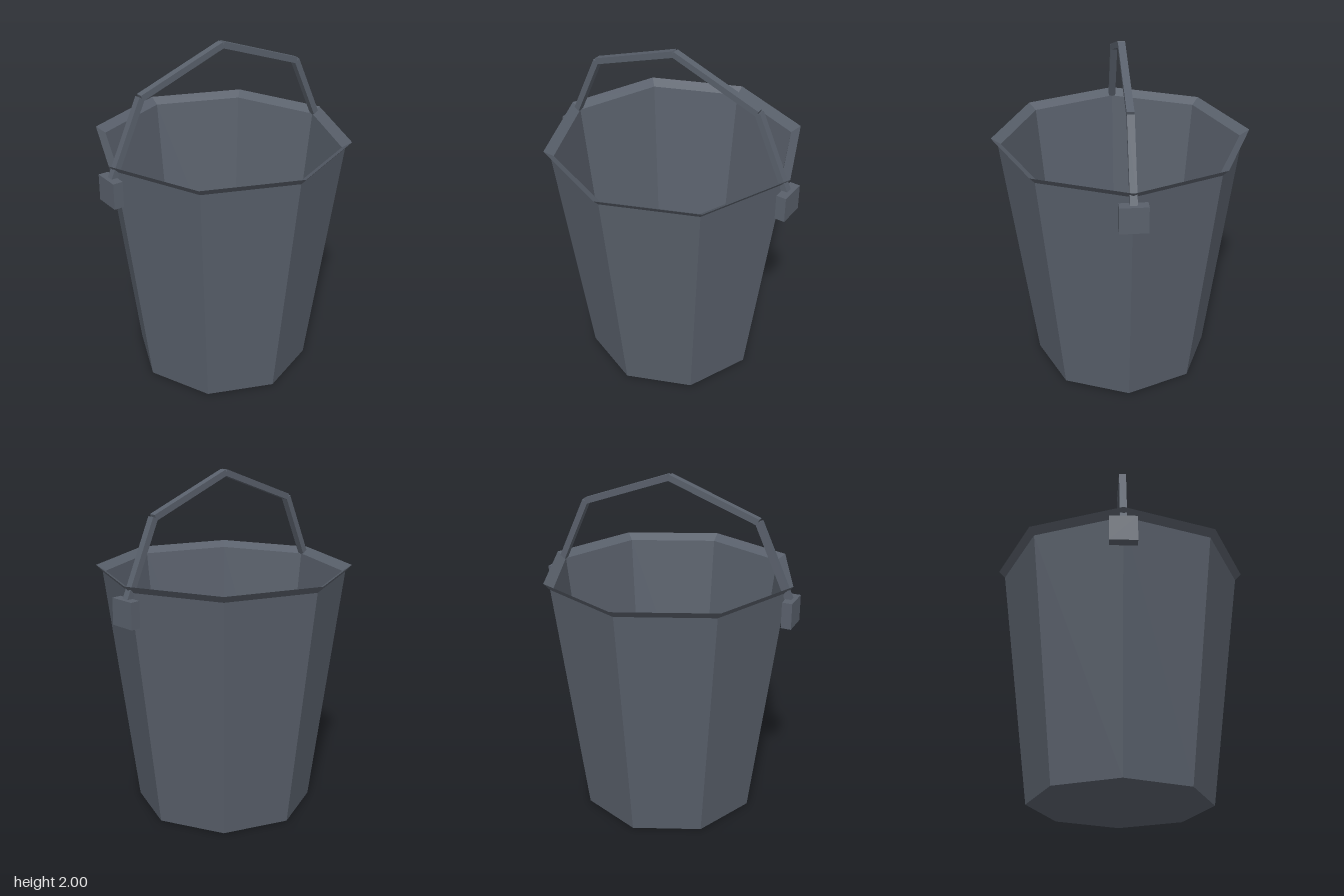
import * as THREE from 'three';

const slate = new THREE.MeshStandardMaterial({ color: 0x59606b, flatShading: true });
slate.name = 'slate grey';

// Square bar between two points in the x-y plane
function bar(name, [x1, y1], [x2, y2], thickness, depth) {
  const length = Math.hypot(x2 - x1, y2 - y1);
  const mesh = new THREE.Mesh(new THREE.BoxGeometry(length, thickness, depth), slate);
  mesh.position.set((x1 + x2) / 2, (y1 + y2) / 2, 0);
  mesh.rotation.z = Math.atan2(y2 - y1, x2 - x1);
  mesh.name = name;
  return mesh;
}

export function createModel() {
  const model = new THREE.Group();
  model.name = 'bucket';

  // Eight-sided shell: underside, outer wall, flared rim, inner wall, floor
  const profile = [
    [0, 0], [0.52, 0], [0.703, 1.41], [0.74, 1.45],
    [0.685, 1.415], [0.52, 0.02], [0.495, 0.02], [0, 0.02],
  ].map(([r, y]) => new THREE.Vector2(r, y));
  const shell = new THREE.Mesh(new THREE.LatheGeometry(profile, 8), slate);
  shell.name = 'bucketShell';
  model.add(shell);

  // Angular carrying handle and the lugs it hangs from
  const handle = new THREE.Group();
  handle.name = 'handle';
  model.add(handle);
  const path = [[-0.725, 1.365], [-0.53, 1.79], [0, 1.982], [0.53, 1.79], [0.725, 1.365]];
  for (let i = 0; i < path.length - 1; i++) {
    handle.add(bar('handleBar', path[i], path[i + 1], 0.036, 0.04));
  }
  for (const side of [-1, 1]) {
    const lug = new THREE.Mesh(new THREE.BoxGeometry(0.058, 0.15, 0.155), slate);
    lug.position.set(side * 0.733, 1.305, 0);
    lug.name = side > 0 ? 'leftLug' : 'rightLug';
    model.add(lug);
  }
  return model;
}
